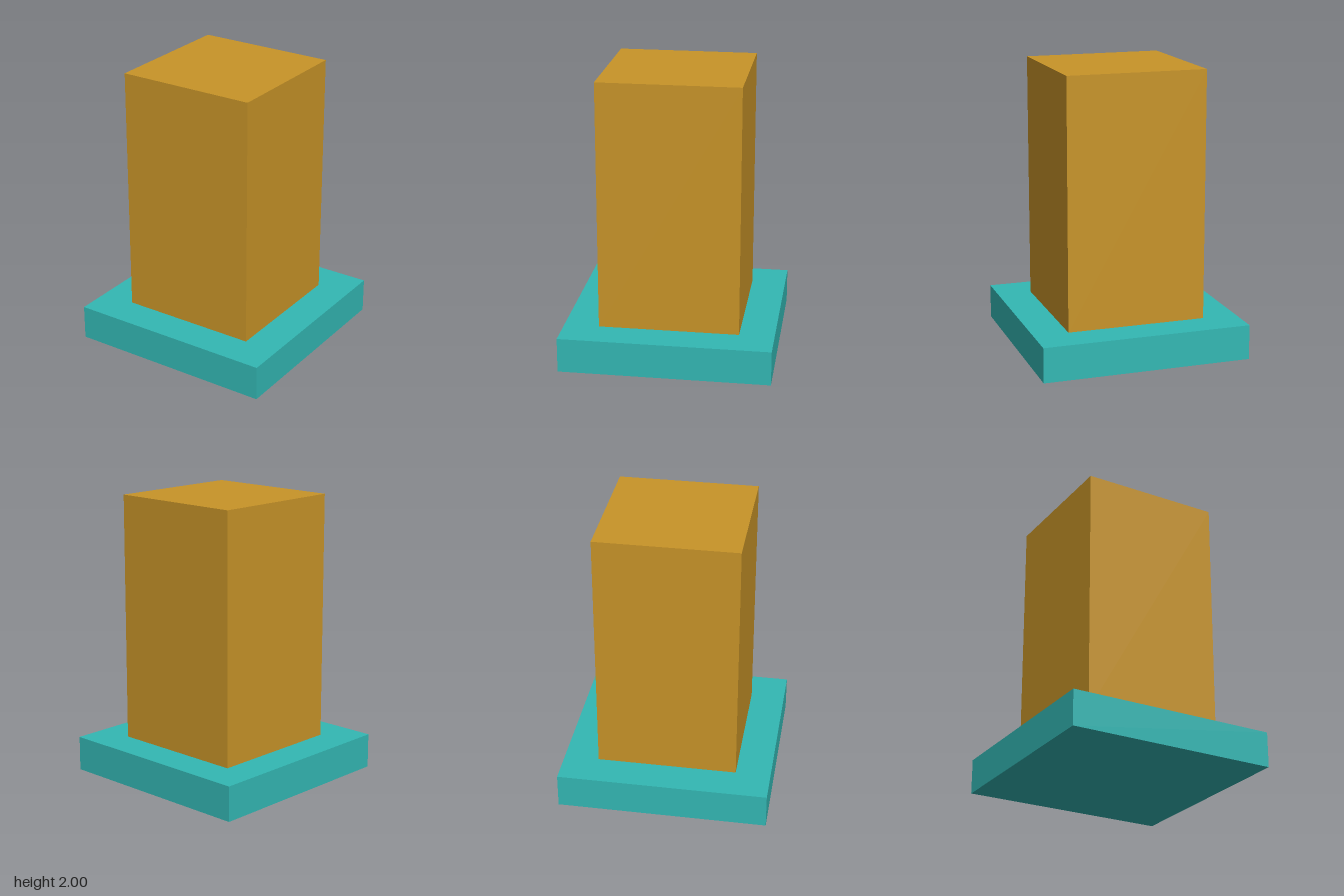
import * as THREE from 'three';

// Square block standing on height y
function block(name, width, height, y, color) {
  const mesh = new THREE.Mesh(
    new THREE.BoxGeometry(width, height, width),
    new THREE.MeshStandardMaterial({ color })
  );
  mesh.name = name;
  mesh.position.y = y + height / 2;
  return mesh;
}

export function createModel() {
  const model = new THREE.Group();
  model.name = 'pillarOnPlinth';
  const baseHeight = 0.246;

  // Wide, low plinth
  model.add(block('base', 1.475, baseHeight, 0, 0x33b8b4));
  // Tall square pillar on top of it
  model.add(block('pillar', 0.983, 2 - baseHeight, baseHeight, 0xc89428));

  return model;
}
